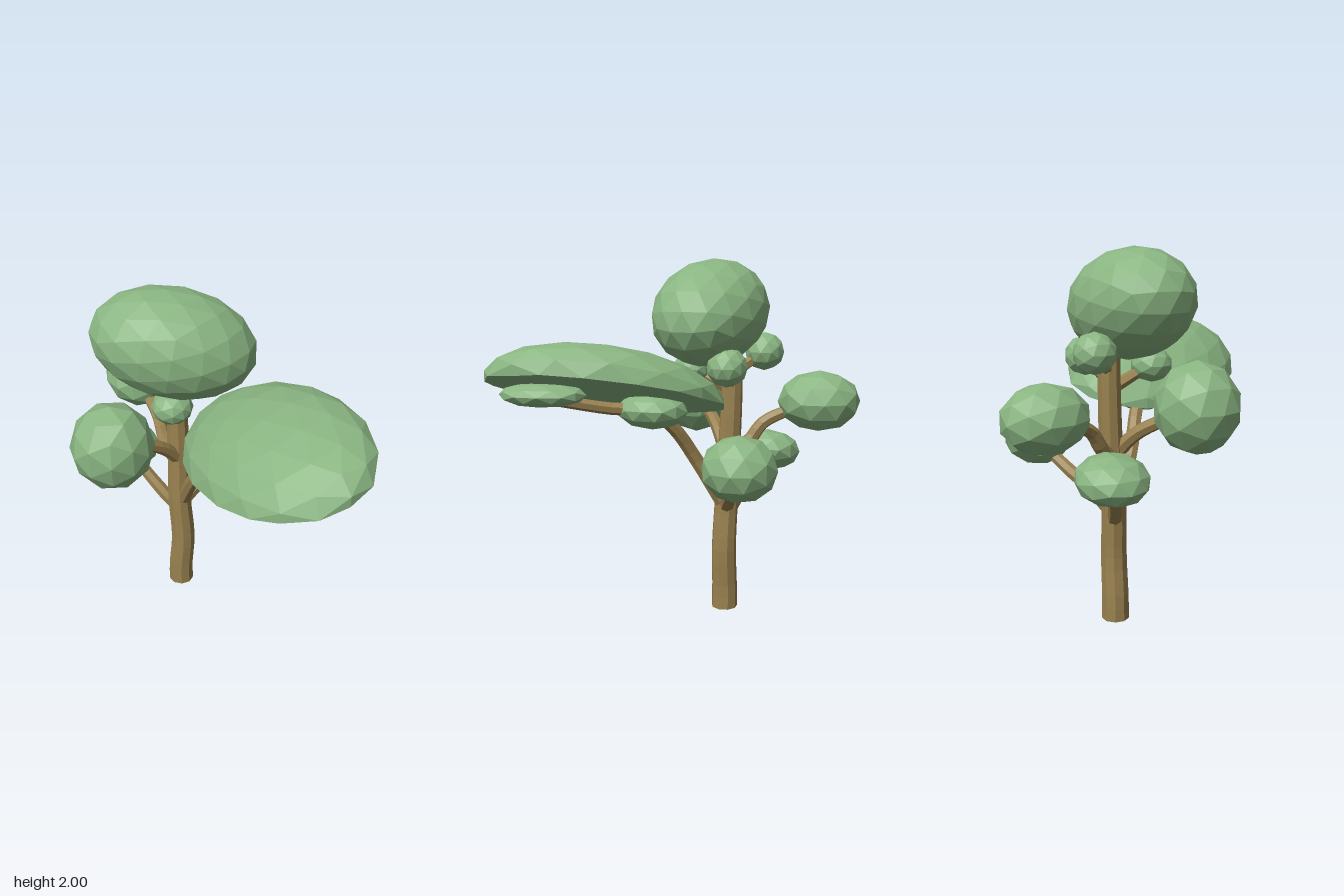
import * as THREE from 'three';

const bark = new THREE.MeshStandardMaterial({ color: 0x9a8250, flatShading: true });
const leaf = new THREE.MeshStandardMaterial({ color: 0x8ab582, flatShading: true });

// Tapered limb swept along a smooth path
function limb(name, points, r0, r1, sides = 7) {
  const curve = new THREE.CatmullRomCurve3(points.map(p => new THREE.Vector3(...p)));
  const steps = points.length * 3;
  const geo = new THREE.TubeGeometry(curve, steps, 1, sides);
  const pos = geo.attributes.position;
  const v = new THREE.Vector3();
  for (let i = 0; i < pos.count; i++) {
    const t = Math.floor(i / (sides + 1)) / steps;
    const c = curve.getPointAt(t);
    v.fromBufferAttribute(pos, i).sub(c).multiplyScalar(r0 + (r1 - r0) * t).add(c);
    pos.setXYZ(i, v.x, v.y, v.z);
  }
  geo.computeVertexNormals();
  const mesh = new THREE.Mesh(geo, bark);
  mesh.name = name;
  return mesh;
}

// Faceted ellipsoid clump of leaves
function clump(name, center, radii, detail = 1, rotation = [0, 0, 0]) {
  const mesh = new THREE.Mesh(new THREE.IcosahedronGeometry(1.02, detail), leaf);
  mesh.name = name;
  mesh.position.set(...center);
  mesh.scale.set(...radii);
  mesh.rotation.set(...rotation);
  return mesh;
}

// Wide leaning dome: hollowed underside, rising toward +x
function canopy() {
  const geo = new THREE.IcosahedronGeometry(1, 2);
  const pos = geo.attributes.position;
  const turn = 0.43, c = Math.cos(turn), s = Math.sin(turn);
  for (let i = 0; i < pos.count; i++) {
    const a = pos.getX(i) * 0.41, b = pos.getZ(i) * 0.64;
    const h = pos.getY(i);
    const x = a * c + b * s, z = b * c - a * s;
    const y = (h < -0.05 ? -0.12 * h - 0.05 : h) * 0.25;
    pos.setXYZ(i, x, y + 0.33 * x, z);
  }
  geo.computeVertexNormals();
  const mesh = new THREE.Mesh(geo, leaf);
  mesh.name = 'leaningCanopy';
  mesh.position.set(0.295, 1.295, 0.325);
  return mesh;
}

export function createModel() {
  const tree = new THREE.Group();
  tree.name = 'tree';

  // Trunk with closed foot and top
  tree.add(limb('trunk', [
    [-0.175, 0, -0.205], [-0.175, 0.12, -0.205], [-0.157, 0.35, -0.203],
    [-0.172, 0.62, -0.21], [-0.172, 0.95, -0.225], [-0.175, 1.25, -0.235], [-0.175, 1.5, -0.235],
  ], 0.075, 0.058, 9));
  const foot = new THREE.Mesh(new THREE.CircleGeometry(0.075, 9), bark);
  foot.name = 'trunkFoot';
  foot.rotation.x = Math.PI / 2;
  foot.position.set(-0.175, 0, -0.205);
  tree.add(foot);

  // Branches
  const branches = {
    lowRightBranch: [[-0.17, 0.55, -0.21], [-0.26, 0.64, -0.25], [-0.45, 0.86, -0.37]],
    lowLeftBranch: [[-0.16, 0.6, -0.21], [-0.03, 0.71, -0.27], [0.12, 0.78, -0.32], [0.33, 0.91, -0.4]],
    backBranch: [[-0.19, 0.9, -0.22], [-0.25, 0.98, -0.32], [-0.28, 1.09, -0.4], [-0.37, 1.19, -0.62]],
    rightBranch: [[-0.17, 0.92, -0.21], [-0.27, 1.05, -0.13], [-0.47, 1.18, 0.02]],
    canopyBranch: [[-0.15, 0.64, -0.19], [-0.08, 0.9, -0.05], [0.02, 1.08, 0.04],
      [0.11, 1.18, 0.13], [0.24, 1.215, 0.35], [0.42, 1.28, 0.62]],
  };
  for (const [name, path] of Object.entries(branches)) tree.add(limb(name, path, 0.042, 0.032));

  // Foliage carried by the branches
  tree.add(
    clump('crown', [-0.185, 1.71, -0.112], [0.435, 0.28, 0.305], 2, [0, -0.1, -0.2]),
    canopy(),
    clump('rightClump', [-0.53, 1.21, 0.07], [0.222, 0.237, 0.222]),
    clump('lowRightClump', [-0.47, 0.89, -0.385], [0.188, 0.12, 0.19], 1, [0, 0, 0.2]),
    clump('lowLeftClump', [0.347, 0.955, -0.405], [0.195, 0.17, 0.195]),
    clump('backClump', [-0.38, 1.21, -0.695], [0.2, 0.17, 0.23], 1, [0, 0.3, 0]),
    clump('innerCanopyClump', [0.11, 1.19, 0.135], [0.17, 0.1, 0.195], 1, [0, 0, 0.1]),
    clump('outerCanopyClump', [0.43, 1.3, 0.63], [0.13, 0.065, 0.23], 1, [0, 0.2, 0]),
  );

  // Small tufts around the trunk top, each on a short twig
  const tufts = [[-0.205, 1.395, 0.0], [0.04, 1.43, -0.26], [-0.31, 1.49, -0.39]];
  tufts.forEach((p, i) => {
    tree.add(clump('tuft' + (i + 1), p, [0.11, i ? 0.105 : 0.092, 0.11]));
    tree.add(limb('twig' + (i + 1), [[-0.175, p[1] - 0.12, -0.235],
      [(p[0] - 0.175) / 2, p[1] - 0.06, (p[2] - 0.235) / 2], p], 0.035, 0.028, 6));
  });
  return tree;
}
